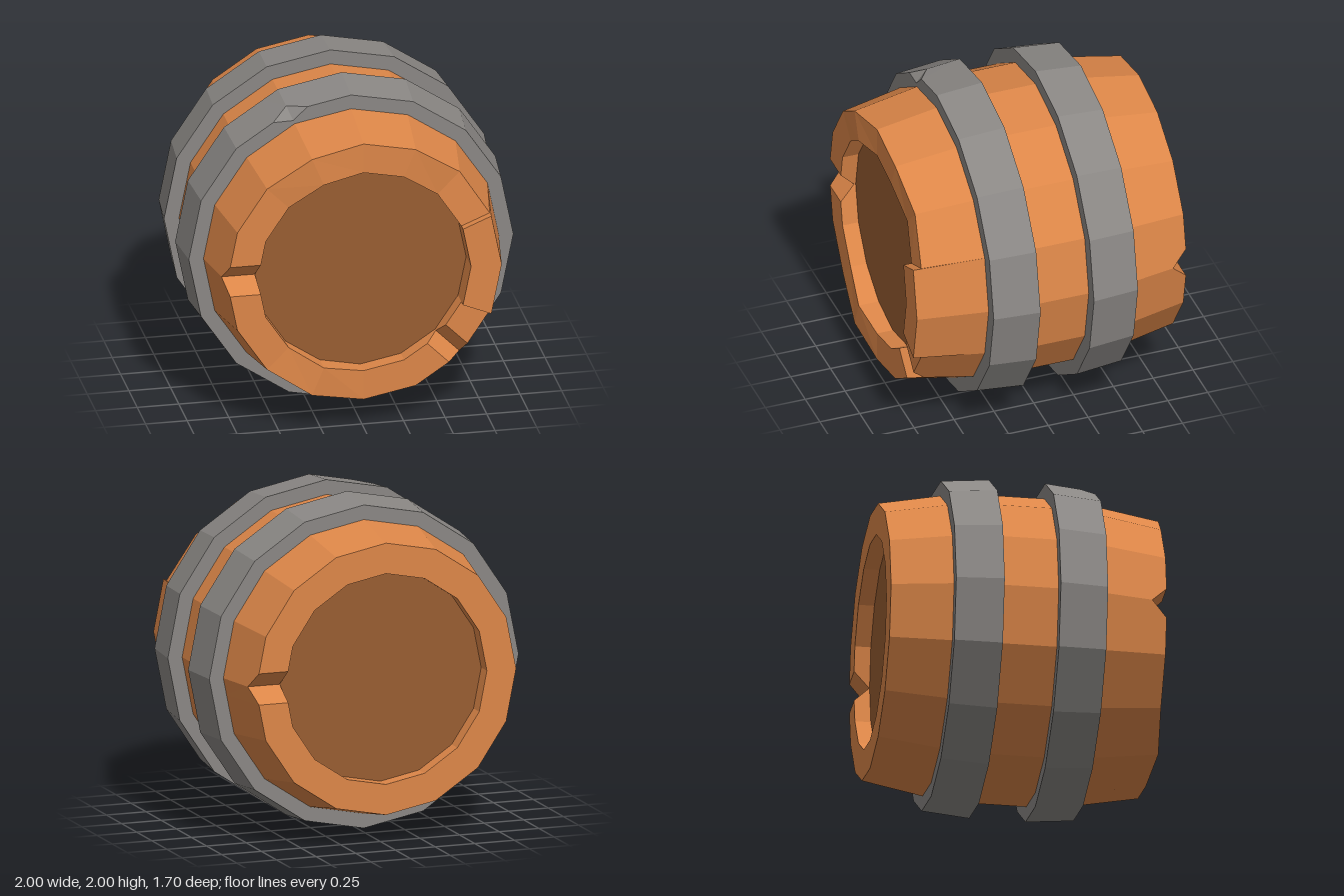
import * as THREE from 'three';

const SIDES = 16;
const wood = new THREE.MeshStandardMaterial({ color: 0xdc8648, flatShading: true });
const darkWood = new THREE.MeshStandardMaterial({ color: 0x985d32, flatShading: true });
const iron = new THREE.MeshStandardMaterial({ color: 0x8a8784, flatShading: true });

// Point on a 16-sided ring; a fractional k lies on the straight edge between corners
function ringPoint(k, r, z) {
  const k0 = Math.floor(k), f = k - k0;
  const a = (k0 * 2 * Math.PI) / SIDES, b = ((k0 + 1) * 2 * Math.PI) / SIDES;
  return [
    r * (Math.cos(a) * (1 - f) + Math.cos(b) * f),
    r * (Math.sin(a) * (1 - f) + Math.sin(b) * f),
    z,
  ];
}

// Skin a closed loop of profiles (each a list of points running front to back)
function skin(profiles) {
  const cols = profiles[0].length, n = profiles.length, index = [];
  for (let i = 0; i < n; i++) {
    for (let j = 0; j < cols - 1; j++) {
      const a = i * cols + j, b = ((i + 1) % n) * cols + j;
      index.push(a, a + 1, b + 1, a, b + 1, b);
    }
  }
  const g = new THREE.BufferGeometry();
  g.setAttribute('position', new THREE.Float32BufferAttribute(profiles.flat(2), 3));
  g.setIndex(index);
  g.computeVertexNormals();
  return g;
}

function add(group, name, geometry, material) {
  const mesh = new THREE.Mesh(geometry, material);
  mesh.name = name;
  group.add(mesh);
  return mesh;
}

// Staves: bulging shell with a worn rim, notches and one raised section
function stavesGeometry() {
  const F = 0.8, UP = 0.85, B = -0.845;
  // [corner number, front rim z, back rim z]
  const stations = [
    [0, UP, -0.752], [0.3, UP, B], [1, UP, B], [1, F, B], [2, 0.775, B], [3, F, B],
    [4, F, B], [5, 0.825, B], [6, F, B], [7, F, B], [7.7, F, B], [8, 0.71, B],
    [8.3, F, B], [9, F, B], [10, F, B], [11, 0.825, B], [12, F, B], [13, F, B],
    [13.75, F, B], [14, 0.72, B], [14.25, F, B], [15, F, B], [15, UP, B], [15.7, UP, B],
  ];
  return skin(stations.map(([k, zf, zb]) => {
    // notch walls stay parallel, so they span more of the smaller inner ring
    const c = Math.round(k), ki = c + (k - c) * 1.29;
    const rf = 0.82 + Math.max(0, F - zf) * 0.18;
    const rb = 0.82 + (zb - B) * 0.18;
    return [
      ringPoint(ki, 0.636, 0.7), ringPoint(ki, 0.636, zf), ringPoint(k, rf, zf),
      ringPoint(k, 0.887, 0.425), ringPoint(k, 0.91, 0.14),
      ringPoint(k, 0.91, -0.195), ringPoint(k, 0.887, -0.48),
      ringPoint(k, rb, zb), ringPoint(ki, 0.636, zb), ringPoint(ki, 0.636, -0.75),
    ];
  }));
}

// Hoop: tapered band, optionally with one chipped corner on its front edge
function hoopGeometry(zOut, zMid, chipped) {
  const ks = Array.from({ length: SIDES }, (_, k) => k);
  if (chipped) ks.splice(5, 1, 4.7, 5, 5.3);
  return skin(ks.map((k) => {
    const chip = chipped && k === 5;
    const profile = [
      ringPoint(k, 0.87, zOut),
      ringPoint(k, chip ? 0.91 : 0.975, zOut),
      ringPoint(k, chip ? 0.98 : 0.975, chip ? 0.35 : zOut),
      ringPoint(k, 1, zMid),
      ringPoint(k, 0.89, zMid),
    ];
    return zOut < zMid ? profile.reverse() : profile;
  }));
}

export function createModel() {
  const barrel = new THREE.Group();
  barrel.name = 'barrel';

  add(barrel, 'staves', stavesGeometry(), wood);

  // Recessed end boards
  const front = add(barrel, 'frontLid', new THREE.CircleGeometry(0.637, SIDES), darkWood);
  front.position.z = 0.7;
  const back = add(barrel, 'backLid', new THREE.CircleGeometry(0.637, SIDES), darkWood);
  back.position.z = -0.75;
  back.rotation.y = Math.PI;

  // Iron bands
  add(barrel, 'frontHoop', hoopGeometry(0.425, 0.14, true), iron);
  add(barrel, 'backHoop', hoopGeometry(-0.48, -0.195, false), iron);

  barrel.position.y = 1;
  const model = new THREE.Group();
  model.add(barrel);
  return model;
}
